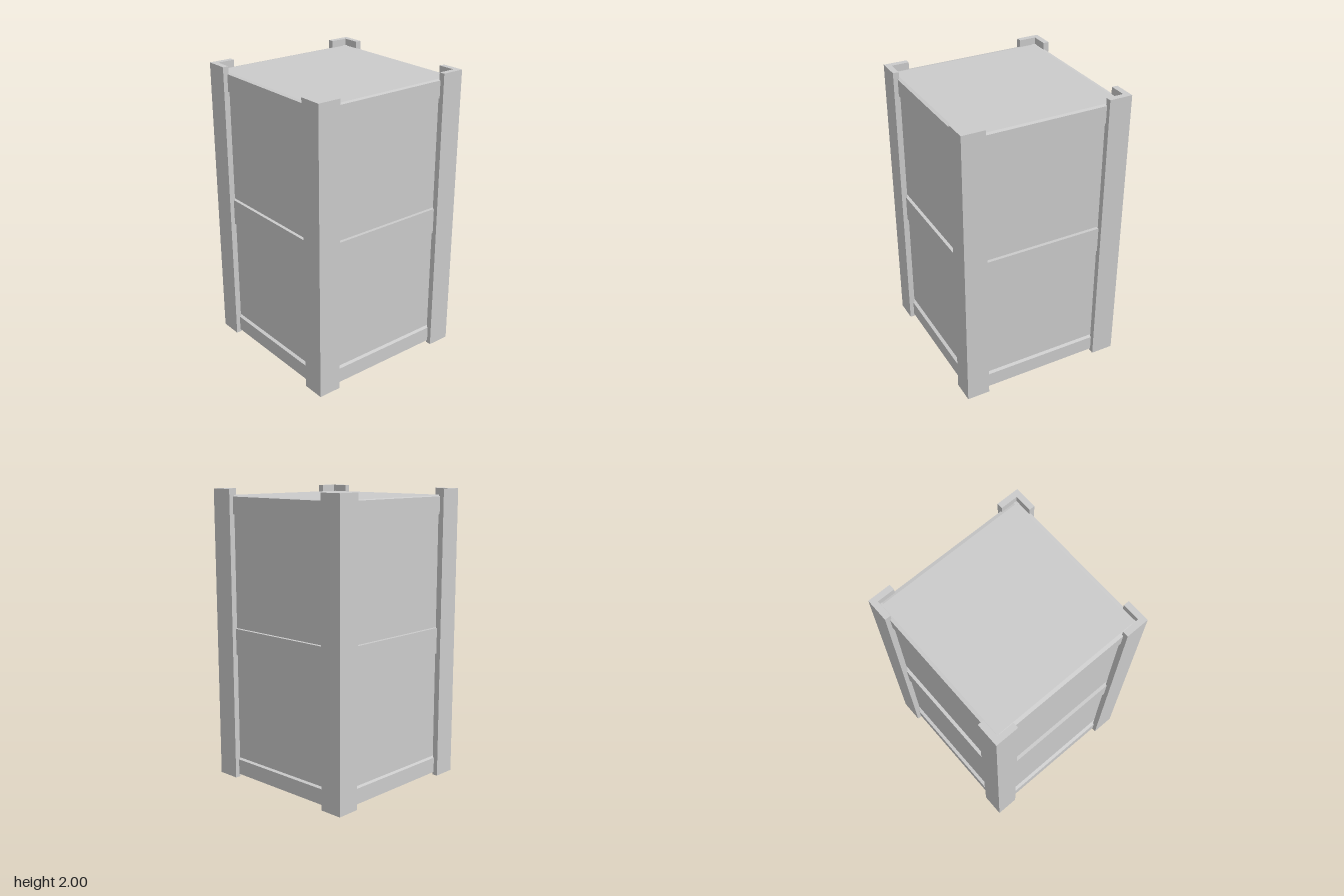
import * as THREE from 'three';

const OUT = 0.58, LEG = 0.16, THICK = 0.04, HEIGHT = 2;
const PANEL = 0.527, RAIL = 0.55, BOTTOM = 0.02, TOP = 1.955;

export function createModel() {
  const group = new THREE.Group();
  const mat = new THREE.MeshStandardMaterial({ color: 0xcccccc, flatShading: true });
  const add = (geometry, name) => {
    const mesh = new THREE.Mesh(geometry, mat);
    mesh.name = name;
    group.add(mesh);
    return mesh;
  };
  const polygon = (points) => new THREE.Shape(points.map(([x, y]) => new THREE.Vector2(x, y)));

  // Closed box whose sides are the recessed panels
  const body = add(new THREE.BoxGeometry(PANEL * 2, TOP - BOTTOM, PANEL * 2), 'panelBody');
  body.position.y = (TOP + BOTTOM) / 2;

  // L-shaped corner post, standing proud of the box at top and bottom
  const inner = OUT - THICK, end = OUT - LEG;
  const postGeo = new THREE.ExtrudeGeometry(polygon([
    [OUT, OUT], [end, OUT], [end, inner], [inner, inner], [inner, end], [OUT, end],
  ]), { depth: HEIGHT, bevelEnabled: false });
  postGeo.rotateX(-Math.PI / 2);

  // Rail with slightly sloped ledges: [name, bottom, top, slope below, slope above]
  const rails = [
    ['bottomRail', BOTTOM, 0.132, 0, 0.006],
    ['middleRail', 0.88, 1.06, 0, 0],
    ['topRail', 1.832, TOP, -0.006, 0.005],
  ].map(([name, low, high, slopeLow, slopeHigh]) => {
    const geo = new THREE.ExtrudeGeometry(polygon([
      [PANEL - 0.01, low - slopeLow], [RAIL, low], [RAIL, high - slopeHigh],
      [PANEL, high], [PANEL - 0.01, high],
    ]), { depth: inner * 2, bevelEnabled: false });
    geo.translate(0, 0, -inner);
    return { name, geo };
  });

  // Repeat posts and rails around the four sides
  for (let i = 0; i < 4; i++) {
    const turn = i * Math.PI / 2;
    add(postGeo, 'cornerPost' + (i + 1)).rotation.y = turn;
    for (const { name, geo } of rails) add(geo, name + (i + 1)).rotation.y = turn;
  }
  return group;
}
